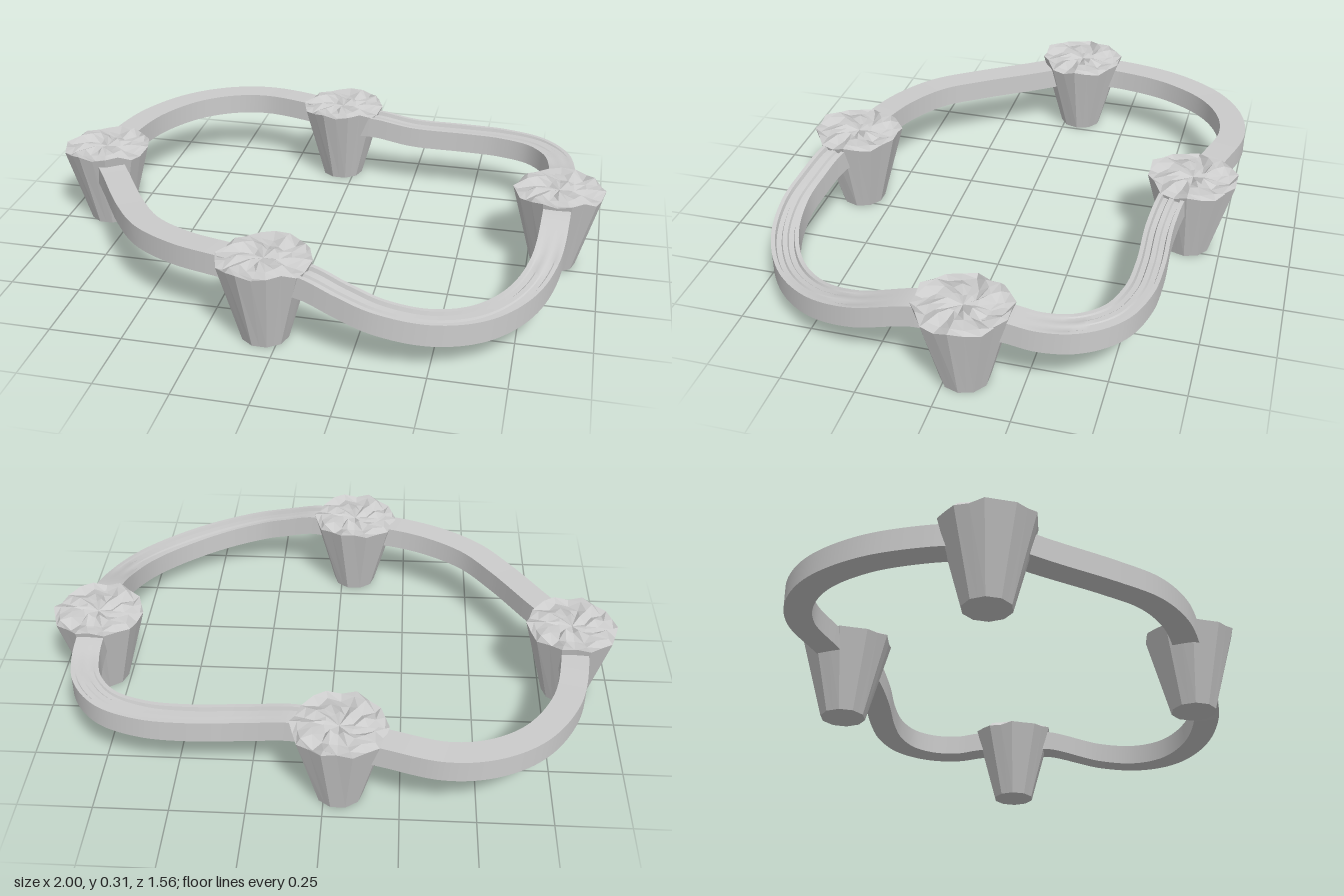
import * as THREE from 'three';
import { toCreasedNormals } from 'three/addons/utils/BufferGeometryUtils.js';

const grey = new THREE.MeshStandardMaterial({ color: 0xcccccc });
const faceted = new THREE.MeshStandardMaterial({ color: 0xcccccc, flatShading: true });

// Repeatable noise from 0 to 1
function noise(a, b) {
  const s = Math.sin(a * 127.1 + b * 311.7 + 3.7) * 43758.5453;
  return s - Math.floor(s);
}

// Ten-sided tapered pillar with a rough, rocky top
function pillarGeometry() {
  const n = 20;
  const profile = [[0, 0], [0.08, 0], [0.161, 0.285], [0.135, 0.285], [0.095, 0.285], [0.05, 0.285], [0, 0.287]]
    .map(([r, y]) => new THREE.Vector2(r, y));
  const geo = new THREE.LatheGeometry(profile, n);
  const pos = geo.attributes.position;
  for (let k = 0; k < pos.count; k++) {
    const seg = Math.floor(k / profile.length) % n;
    const row = k % profile.length;
    // pull every second column in to the flat of the decagon
    let f = seg % 2 ? 1 : Math.cos(Math.PI / 10);
    if (row > 2) f *= 0.92 + 0.16 * noise(seg, row + 20);
    const lift = row >= 2 && row < 6 ? (noise(seg, row) - 0.3) * 0.03 : 0;
    pos.setXYZ(k, pos.getX(k) * f, pos.getY(k) + lift, pos.getZ(k) * f);
  }
  const flat = geo.toNonIndexed();
  flat.computeVertexNormals();
  return flat;
}

// Track: section swept along a curve through top-centre points, kept level sideways.
// Grooves run along the top and fade out towards the far end.
function trackGeometry(points, grooved) {
  const curve = new THREE.CatmullRomCurve3(points.map(p => new THREE.Vector3(...p)));
  const steps = 64, w = 0.047, h = 0.078, d = 0.014;
  const top = grooved
    ? [[w, 0], [0.033, 0], [0.029, -d], [0.012, -d], [0.008, -d * 0.4], [-0.008, -d * 0.4],
      [-0.012, -d], [-0.029, -d], [-0.033, 0], [-w, 0]]
    : [[w, 0], [-w, 0]];
  const section = [[-w, -h], [w, -h], ...top];
  const m = section.length, verts = [], index = [];
  for (let i = 0; i <= steps; i++) {
    const t = i / steps;
    const p = curve.getPointAt(t), dir = curve.getTangentAt(t);
    const side = new THREE.Vector3(dir.z, 0, -dir.x).normalize();
    const fade = 1 - THREE.MathUtils.smoothstep(t, 0.35, 0.9);
    section.forEach(([u, v], j) => {
      const y = j < 2 ? v : v * fade;
      verts.push(p.x + side.x * u, p.y + y, p.z + side.z * u);
      if (i === steps) return;
      const a = i * m + j, b = i * m + (j + 1) % m;
      index.push(a, b, a + m, b, b + m, a + m);
    });
  }
  const geo = new THREE.BufferGeometry();
  geo.setAttribute('position', new THREE.Float32BufferAttribute(verts, 3));
  geo.setIndex(index);
  return toCreasedNormals(geo, 0.5);
}

export function createModel() {
  const model = new THREE.Group();

  // Pillars
  const pillar = pillarGeometry();
  const spots = {
    rightPillar: [-0.84, -0.06], leftPillar: [0.84, -0.06],
    frontPillar: [-0.05, 0.62], backPillar: [-0.05, -0.63],
  };
  for (const [name, [x, z]] of Object.entries(spots)) {
    const mesh = new THREE.Mesh(pillar, faceted);
    mesh.name = name;
    mesh.position.set(x, 0, z);
    model.add(mesh);
  }

  // Tracks linking neighbouring pillars
  const tracks = {
    frontRightTrack: [false, [[-0.82, 0.27, 0], [-0.74, 0.268, 0.12], [-0.61, 0.268, 0.32], [-0.5, 0.273, 0.45],
      [-0.35, 0.28, 0.54], [-0.19, 0.285, 0.59], [-0.08, 0.278, 0.61]]],
    backRightTrack: [false, [[-0.84, 0.272, -0.1], [-0.835, 0.272, -0.24], [-0.79, 0.27, -0.44], [-0.68, 0.272, -0.61],
      [-0.54, 0.276, -0.7], [-0.39, 0.28, -0.725], [-0.2, 0.283, -0.68], [-0.08, 0.276, -0.64]]],
    frontLeftTrack: [true, [[0, 0.276, 0.635], [0.1, 0.283, 0.665], [0.22, 0.25, 0.695], [0.34, 0.217, 0.712],
      [0.5, 0.184, 0.685], [0.65, 0.17, 0.6], [0.76, 0.183, 0.47], [0.82, 0.218, 0.31], [0.84, 0.283, 0.09],
      [0.84, 0.278, 0]]],
    backLeftTrack: [true, [[0, 0.276, -0.59], [0.1, 0.284, -0.575], [0.25, 0.266, -0.562], [0.45, 0.26, -0.567],
      [0.6, 0.26, -0.555], [0.73, 0.262, -0.505], [0.81, 0.264, -0.41], [0.838, 0.268, -0.3], [0.84, 0.283, -0.19],
      [0.84, 0.277, -0.1]]],
  };
  for (const [name, [grooved, points]] of Object.entries(tracks)) {
    const mesh = new THREE.Mesh(trackGeometry(points, grooved), grey);
    mesh.name = name;
    model.add(mesh);
  }
  return model;
}
